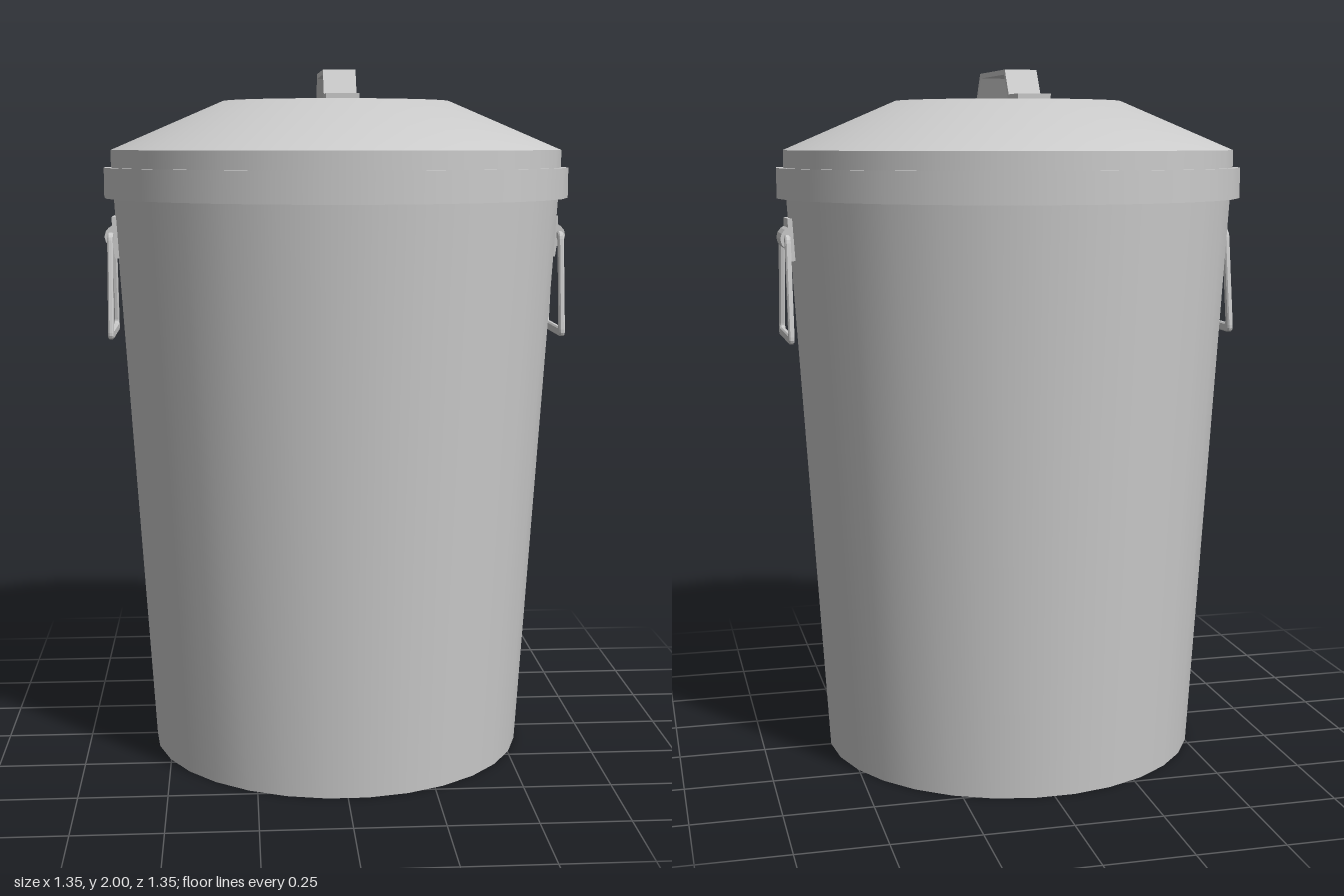
import * as THREE from 'three';

const SIDES = 30;
const material = new THREE.MeshStandardMaterial({ color: 0xcccccc, side: THREE.DoubleSide });

const points = (list) => list.map(([x, y]) => new THREE.Vector2(x, y));

function addMesh(parent, name, geometry) {
  const mesh = new THREE.Mesh(geometry, material);
  mesh.name = name;
  parent.add(mesh);
  return mesh;
}

// One smooth band of revolution; separate bands keep the edges between them sharp
const band = (parent, name, profile) =>
  addMesh(parent, name, new THREE.LatheGeometry(points(profile), SIDES, Math.PI / SIDES));

const extrude = (shape, depth) =>
  new THREE.ExtrudeGeometry(shape, { depth, bevelEnabled: false }).translate(0, 0, -depth / 2);

// Closed outline with its corners cut round
function roundedPath(corners, radius, path) {
  const pts = points(corners);
  pts.forEach((p, i) => {
    const prev = pts[(i + pts.length - 1) % pts.length];
    const next = pts[(i + 1) % pts.length];
    const a = p.clone().add(prev.clone().sub(p).setLength(radius));
    const b = p.clone().add(next.clone().sub(p).setLength(radius));
    if (i === 0) path.moveTo(a.x, a.y);
    else path.lineTo(a.x, a.y);
    path.quadraticCurveTo(p.x, p.y, b.x, b.y);
  });
  path.closePath();
  return path;
}

// Hanging handle with its clip, built on the +x side
function createSideHandle(name) {
  const group = new THREE.Group();
  group.name = name;

  const bail = roundedPath([[-0.138, 1.235], [0.138, 1.235], [0.088, 1.54], [-0.088, 1.54]], 0.022, new THREE.Shape());
  bail.holes.push(roundedPath([[-0.108, 1.261], [0.108, 1.261], [0.067, 1.516], [-0.067, 1.516]], 0.01, new THREE.Path()));
  const bailGeometry = new THREE.ExtrudeGeometry(bail, {
    depth: 0.008, bevelThickness: 0.004, bevelSize: 0.004, bevelOffset: -0.004, bevelSegments: 1, curveSegments: 4,
  });
  addMesh(group, 'bail', bailGeometry.rotateY(Math.PI / 2).translate(0.653, 0, 0));

  const clip = new THREE.Shape(points([
    [0.63, 1.465], [0.646, 1.465], [0.65, 1.495], [0.662, 1.501], [0.671, 1.512], [0.675, 1.528],
    [0.671, 1.543], [0.662, 1.554], [0.653, 1.56], [0.653, 1.585], [0.638, 1.585],
  ]));
  addMesh(group, 'clip', extrude(clip, 0.11));
  return group;
}

export function createModel() {
  const model = new THREE.Group();
  model.name = 'bin';

  // Tapered body
  const body = new THREE.Group();
  body.name = 'body';
  band(body, 'base', [[0, 0], [0.55, 0]]);
  band(body, 'wall', [[0.55, 0], [0.652, 1.68]]);
  model.add(body);

  // Stepped lid
  const lid = new THREE.Group();
  lid.name = 'lid';
  band(lid, 'rimUnderside', [[0.64, 1.64], [0.677, 1.64]]);
  band(lid, 'rim', [[0.677, 1.64], [0.677, 1.726]]);
  band(lid, 'rimLedge', [[0.677, 1.726], [0.656, 1.726]]);
  band(lid, 'collar', [[0.656, 1.726], [0.656, 1.776]]);
  band(lid, 'dome', [[0.656, 1.776], [0.33, 1.916], [0, 1.917]]);
  model.add(lid);

  // Bent strap on top of the lid, running front to back
  const top = [[0.308, 1.93], [0.2, 1.93], [0.154, 2]];
  const under = [[0.146, 1.986], [0.19, 1.915], [0.308, 1.915]];
  const flip = (side) => side.map(([z, y]) => [-z, y]).reverse();
  const strap = new THREE.Shape(points([...top, ...flip(top), ...flip(under), ...under]));
  addMesh(model, 'lidHandle', extrude(strap, 0.092).rotateY(Math.PI / 2));

  // Handles on both sides
  const right = createSideHandle('rightHandle');
  right.rotation.y = Math.PI;
  model.add(createSideHandle('leftHandle'), right);

  return model;
}
